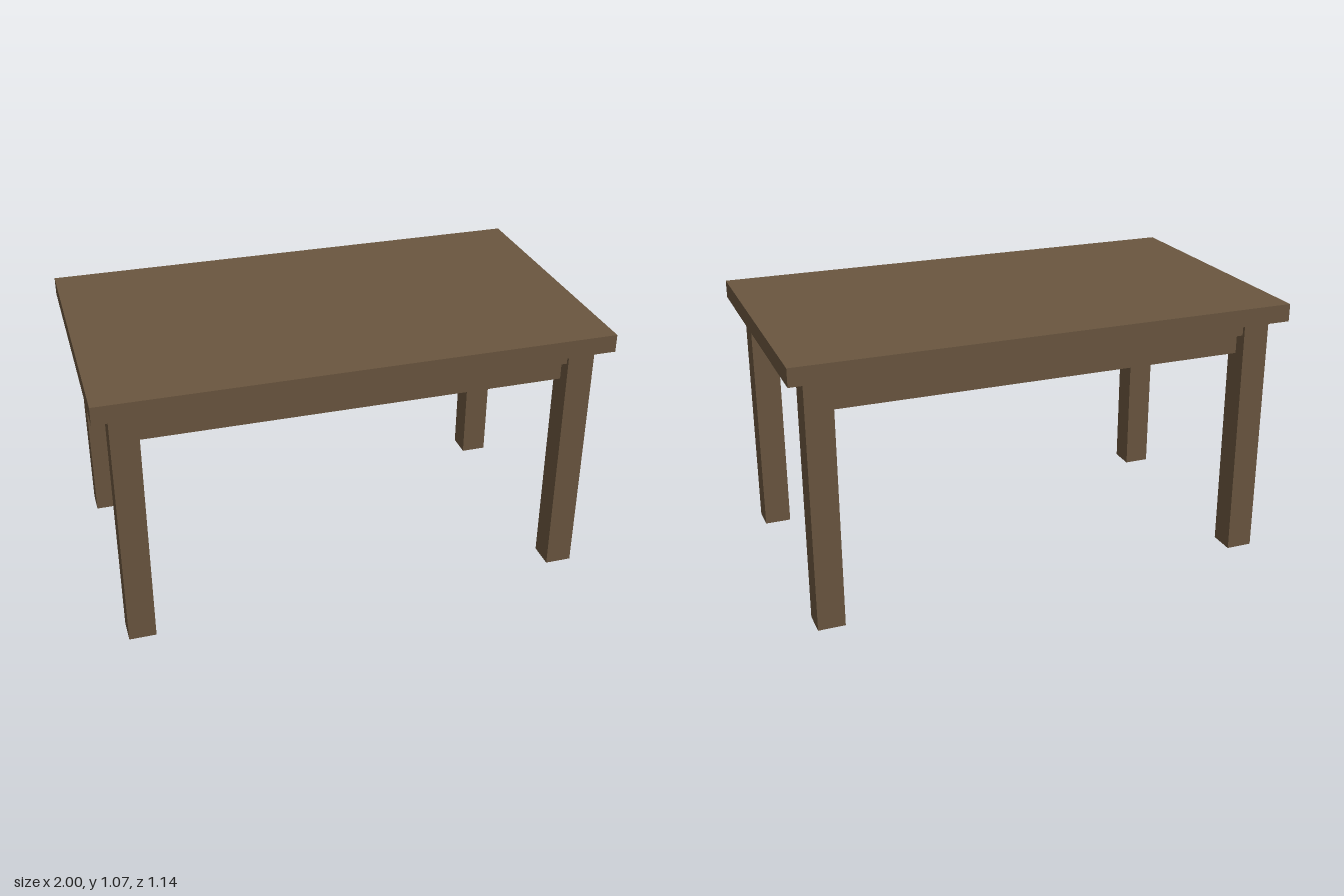
import * as THREE from 'three';

export function createModel() {
  const group = new THREE.Group();
  const wood = new THREE.MeshStandardMaterial({ color: 0x6a563f });
  wood.name = 'brown wood';

  // Box given by its size and centre height span
  function box(name, width, depth, y0, y1, x = 0, z = 0) {
    const mesh = new THREE.Mesh(new THREE.BoxGeometry(width, y1 - y0, depth), wood);
    mesh.position.set(x, (y0 + y1) / 2, z);
    mesh.name = name;
    group.add(mesh);
  }

  const legSize = 0.107;
  const legX = 0.885;
  const legZ = 0.471;
  const topY = 1.0;
  const slabY = 0.943;
  const railY = 0.857;
  const railThick = 0.043;

  // Top board with a smaller solid board beneath it
  box('tableTop', 2, 1.143, topY, 1.071);
  box('underBoard', 1.856, 1.024, slabY, topY);

  for (const s of [-1, 1]) {
    const side = s > 0 ? 'left' : 'right';
    const face = s > 0 ? 'front' : 'back';

    // Legs
    for (const t of [-1, 1]) {
      box(`${side}${t > 0 ? 'Front' : 'Back'}Leg`, legSize, legSize, 0, topY, s * legX, t * legZ);
    }

    // Thin apron rails between the legs, outer faces on the leg centre lines
    box(`${face}Rail`, 2 * legX - legSize, railThick, railY, slabY, 0, s * (legZ - railThick / 2));
    box(`${side}Rail`, railThick, 2 * legZ - legSize, railY, slabY, s * (legX - railThick / 2), 0);
  }
  return group;
}
